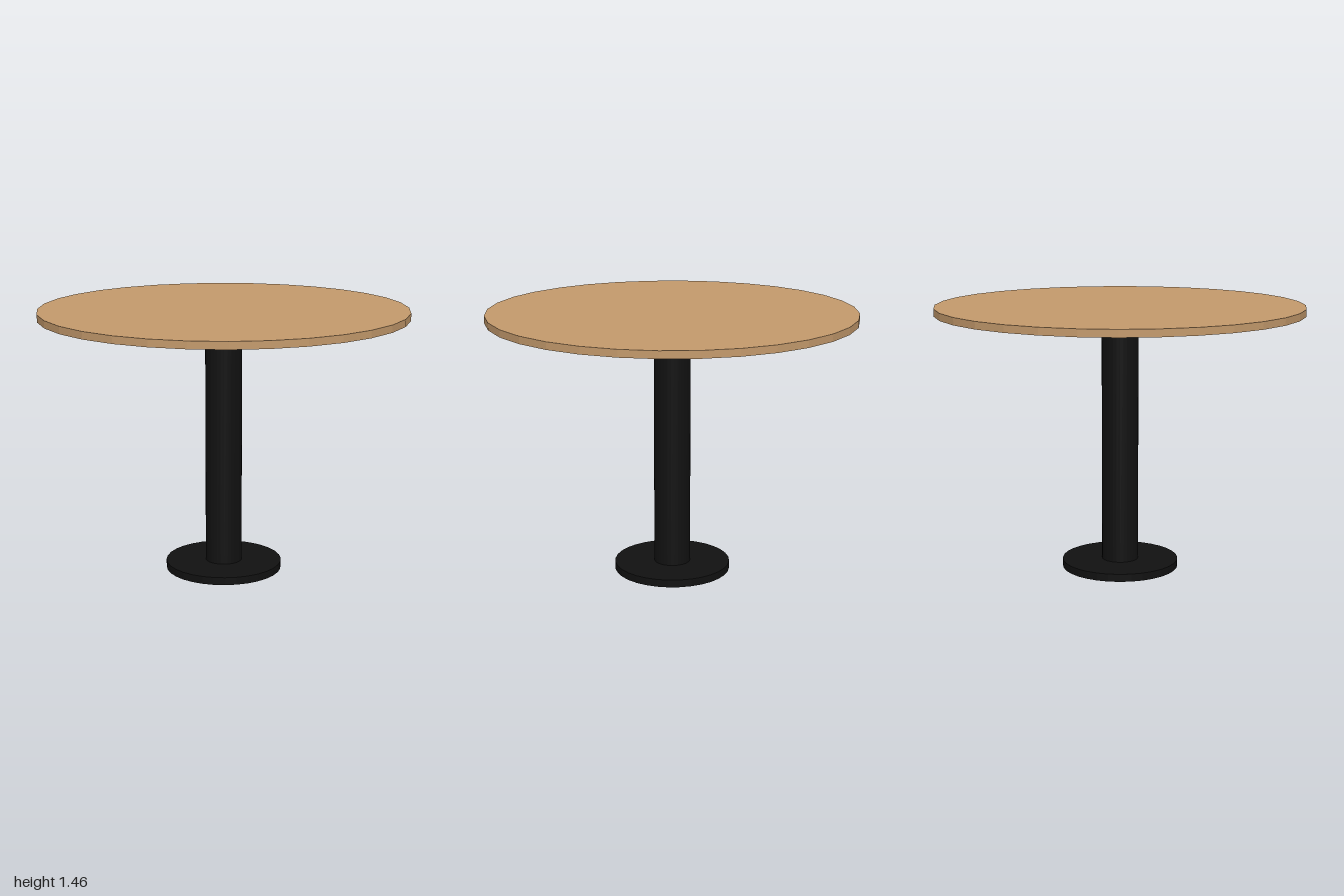
import * as THREE from 'three';

export function createModel() {
  const table = new THREE.Group();
  table.name = 'roundPedestalTable';

  const wood = new THREE.MeshStandardMaterial({ color: 0xc49a6c, flatShading: true });
  wood.name = 'wood';
  const blackMetal = new THREE.MeshStandardMaterial({ color: 0x111111, flatShading: true });
  blackMetal.name = 'blackMetal';

  // Upright disc or post spanning bottom to top
  function addRound(name, radius, bottom, top, material) {
    const mesh = new THREE.Mesh(new THREE.CylinderGeometry(radius, radius, top - bottom, 32), material);
    mesh.name = name;
    mesh.position.y = (bottom + top) / 2;
    table.add(mesh);
  }

  addRound('base', 0.32, 0, 0.042, blackMetal);
  addRound('column', 0.1, 0.042, 1.417, blackMetal);
  addRound('tableTop', 1, 1.417, 1.457, wood);

  return table;
}
